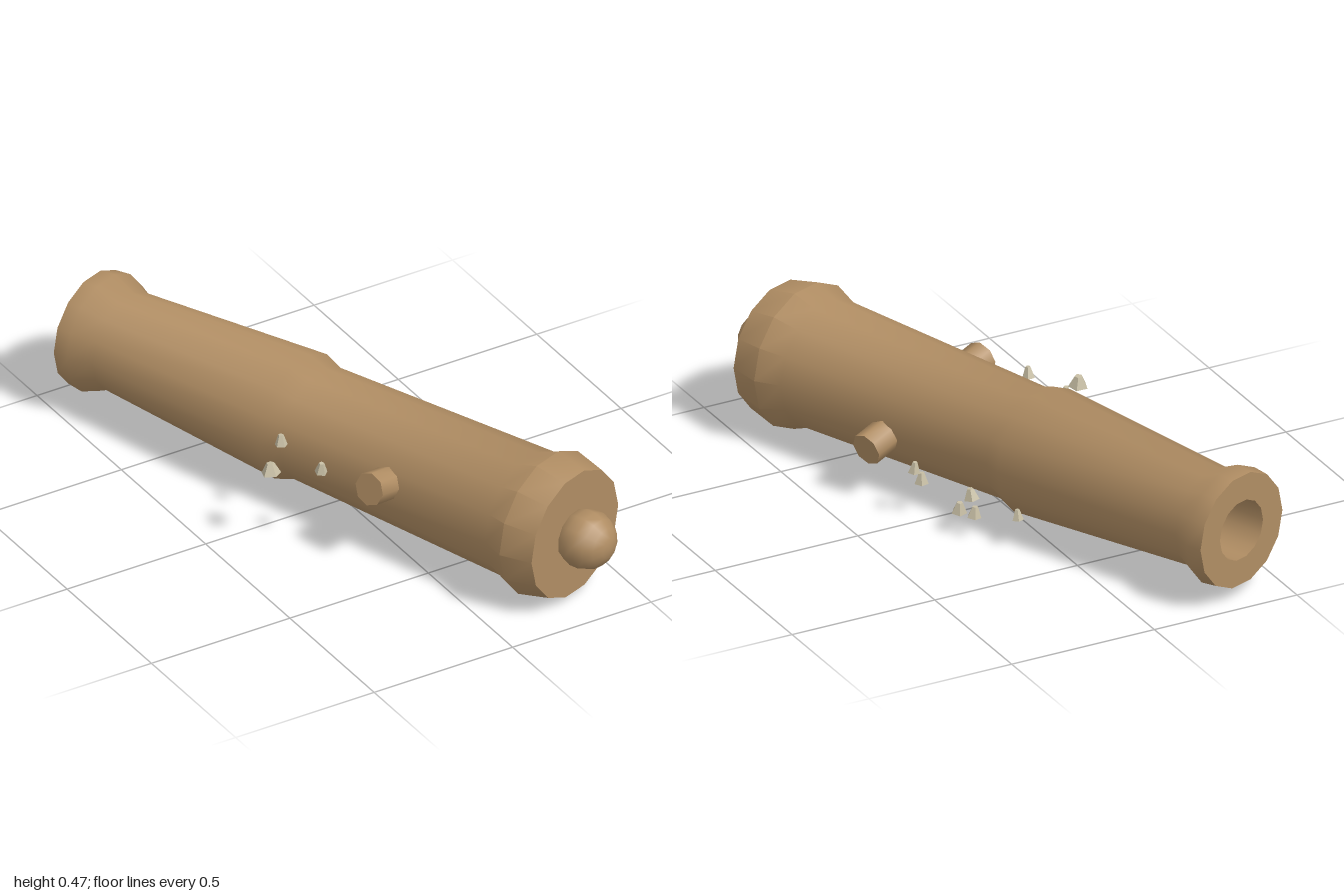
import * as THREE from 'three';
import { toCreasedNormals } from 'three/addons/utils/BufferGeometryUtils.js';

export function createModel() {
  const model = new THREE.Group();
  model.name = 'cannonBarrel';
  const bronze = new THREE.MeshStandardMaterial({ color: 0xb08d63 });
  bronze.name = 'bronze';
  const stone = new THREE.MeshStandardMaterial({ color: 0xc6bda3, flatShading: true });
  stone.name = 'stone';

  const add = (parent, name, geometry, material) => {
    const mesh = new THREE.Mesh(geometry, material);
    mesh.name = name;
    parent.add(mesh);
    return mesh;
  };

  // Gun: axis along local z, turned and rolled as one piece
  const gun = new THREE.Group();
  gun.name = 'gun';
  gun.position.y = 0.236;
  gun.rotation.set(0, THREE.MathUtils.degToRad(20), THREE.MathUtils.degToRad(-12.5), 'YXZ');
  model.add(gun);

  // Barrel profile [radius, distance]: bore, muzzle, tapered chase, step, breech
  const profile = [
    [0, -0.80], [0.1, -0.80], [0.1, -0.995], [0.19, -0.995], [0.196, -0.94],
    [0.162, -0.865], [0.208, -0.17], [0.186, -0.105], [0.208, 0.724],
    [0.239, 0.805], [0.214, 0.912], [0, 0.912],
  ].map(([r, d]) => new THREE.Vector2(r, d));
  const barrel = new THREE.LatheGeometry(profile, 14).rotateX(Math.PI / 2);
  add(gun, 'barrel', toCreasedNormals(barrel, 0.7), bronze);

  // Breech knob
  const knob = new THREE.SphereGeometry(0.096, 12, 9).rotateX(Math.PI / 2);
  add(gun, 'breechKnob', knob, bronze).position.z = 0.958;

  // Trunnions on both sides
  for (const side of [1, -1]) {
    const pin = new THREE.CylinderGeometry(0.054, 0.054, 0.14, 8).rotateZ(Math.PI / 2);
    add(gun, side > 0 ? 'leftTrunnion' : 'rightTrunnion', toCreasedNormals(pin, 0.9), bronze)
      .position.set(side * 0.206, 0, 0.315);
  }

  // Small stone chips beside the barrel: x, y, z, size
  const chips = [
    [-0.335, 0.287, 0.115, 0.058], [-0.243, 0.312, 0.025, 0.038], [-0.213, 0.303, 0.215, 0.038],
    [0.285, 0.175, 0.03, 0.036], [0.258, 0.13, 0.035, 0.042],
    [0.19, 0.145, -0.16, 0.046], [0.215, 0.092, -0.132, 0.046], [0.187, 0.09, -0.178, 0.042],
    [0.105, 0.117, -0.305, 0.034],
  ];
  chips.forEach(([x, y, z, size], i) => {
    const chip = new THREE.CylinderGeometry(size * 0.22, size * 0.55, Math.min(size, 0.036), 5);
    const mesh = add(model, 'stoneChip' + (i + 1), chip, stone);
    mesh.position.set(x, y, z);
    mesh.rotation.set(0.12 * (i % 3 - 1), i * 1.3, -0.1 * (i % 2));
  });

  return model;
}
